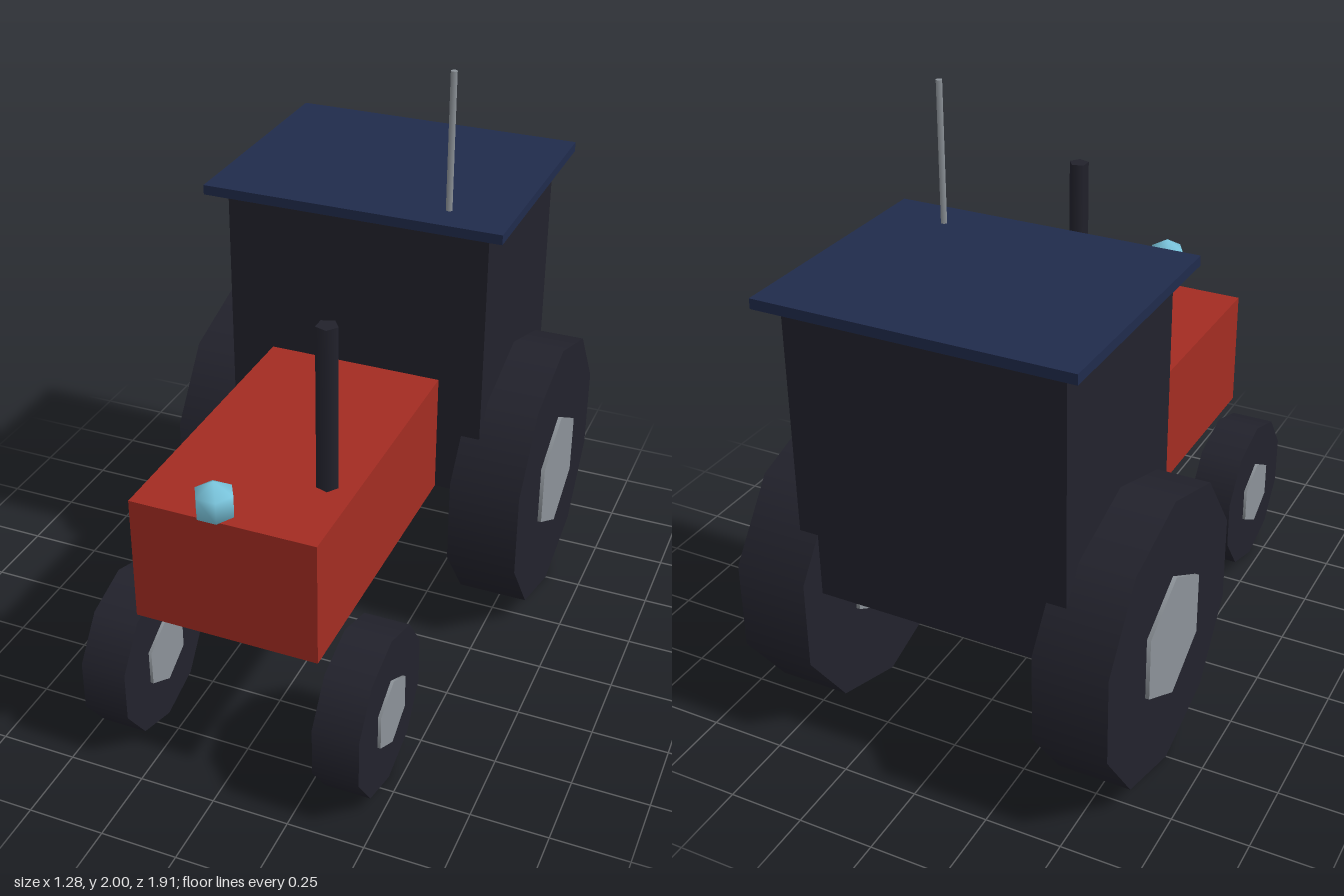
import * as THREE from 'three';

const material = (name, color) => {
  const m = new THREE.MeshStandardMaterial({ color });
  m.name = name;
  return m;
};

export function createModel() {
  const tractor = new THREE.Group();
  tractor.name = 'tractor';

  const black = material('black', 0x22222c);
  const red = material('red', 0xa32c22);
  const navy = material('navy', 0x202b4c);
  const metal = material('metal', 0x8c9298);
  const blue = material('light blue', 0x7cc8e0);

  const add = (parent, name, geometry, mat, x, y, z) => {
    const mesh = new THREE.Mesh(geometry, mat);
    mesh.name = name;
    mesh.position.set(x, y, z);
    parent.add(mesh);
    return mesh;
  };

  // Box given by its lower and upper limits on each axis
  const box = (name, mat, [x0, x1], [y0, y1], [z0, z1]) =>
    add(tractor, name, new THREE.BoxGeometry(x1 - x0, y1 - y0, z1 - z0), mat,
      (x0 + x1) / 2, (y0 + y1) / 2, (z0 + z1) / 2);

  // Upright prism with a corner towards +x
  const prism = (radius, length, sides) =>
    new THREE.CylinderGeometry(radius, radius, length, sides, 1, false, Math.PI / 2);

  // Body
  box('hood', red, [-0.3, 0.3], [0.54, 0.957], [-0.145, 0.872]);
  box('cab', black, [-0.45, 0.45], [0.54, 1.495], [-0.86, -0.145]);
  box('roof', navy, [-0.51, 0.51], [1.51, 1.543], [-0.92, -0.085]);

  // Exhaust, antenna and lamp
  add(tractor, 'exhaust', prism(0.035, 0.54, 5), black, 0.207, 1.225, 0.575);
  add(tractor, 'antenna', prism(0.011, 0.46, 6), metal, 0.296, 1.77, -0.202);
  add(tractor, 'lamp', new THREE.SphereGeometry(0.07, 6, 3), blue, 0, 1.05, 0.903);

  // Wheels: ten-sided tyre with a hexagonal hub standing proud on both sides
  const wheel = (name, x, z, radius, width, hubRadius, hubWidth) => {
    const group = new THREE.Group();
    group.name = name;
    group.position.set(x, radius, z);
    group.rotation.z = Math.PI / 2;
    add(group, 'tyre', prism(radius, width, 10), black, 0, 0, 0);
    add(group, 'hub', prism(hubRadius, hubWidth, 6), metal, 0, 0, 0);
    tractor.add(group);
  };
  for (const [side, s] of [['Left', 1], ['Right', -1]]) {
    wheel('front' + side + 'Wheel', s * 0.388, 0.695, 0.27, 0.15, 0.12, 0.17);
    wheel('rear' + side + 'Wheel', s * 0.506, -0.5, 0.477, 0.24, 0.215, 0.266);
  }

  return tractor;
}
